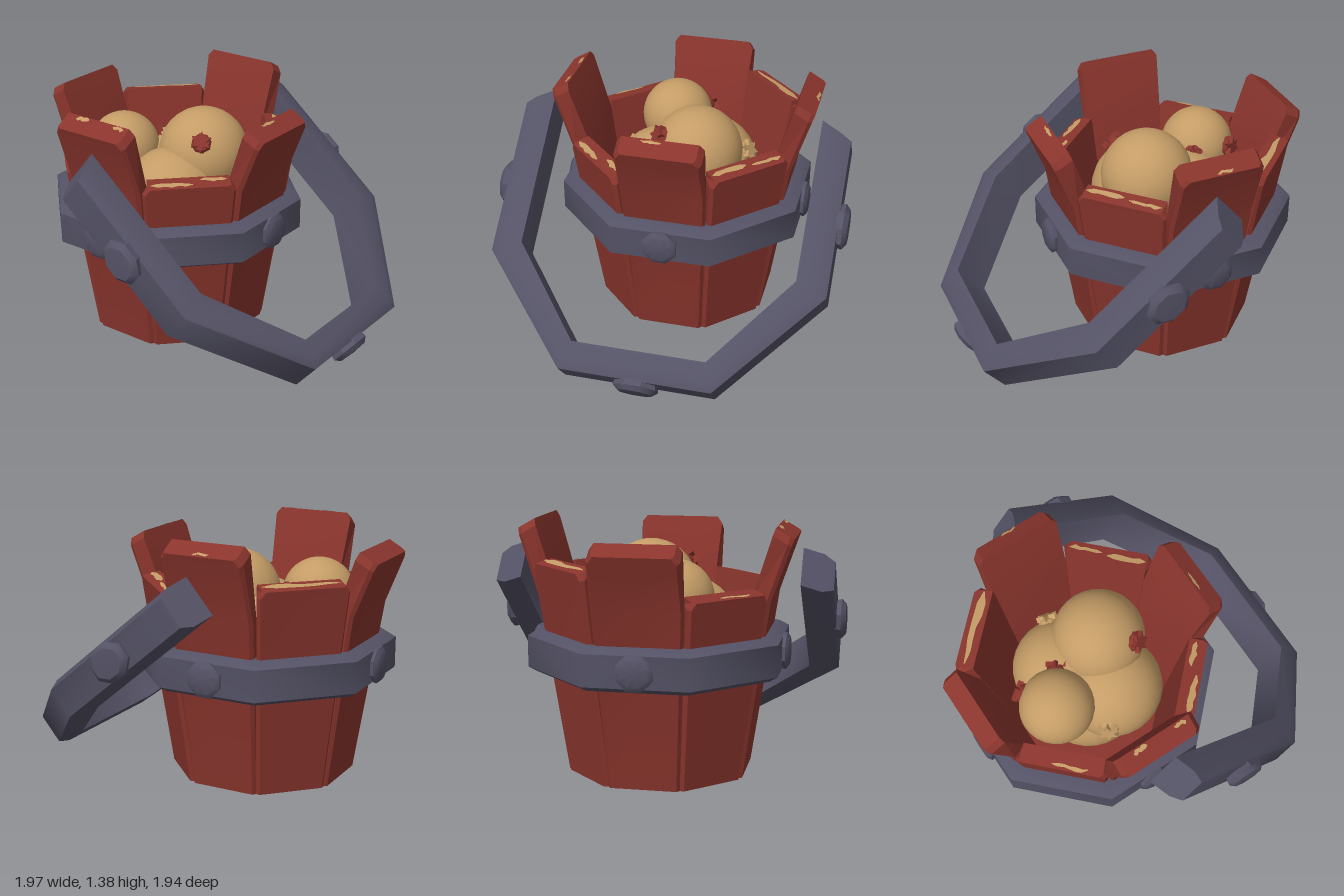
import * as THREE from 'three';
import { toCreasedNormals } from 'three/addons/utils/BufferGeometryUtils.js';

const wood = new THREE.MeshStandardMaterial({ color: 0x8a352d });
wood.name = 'red wood';
const metal = new THREE.MeshStandardMaterial({ color: 0x545265 });
metal.name = 'grey metal';
const tan = new THREE.MeshStandardMaterial({ color: 0xc49c66, side: THREE.DoubleSide });
tan.name = 'tan';

let seed = 7;
const rand = () => (seed = (seed * 16807) % 2147483647) / 2147483647;
const V = (x, y, z) => new THREE.Vector3(x, y, z);

function add(parent, geometry, material, name) {
  const mesh = new THREE.Mesh(geometry, material);
  mesh.name = name;
  parent.add(mesh);
  return mesh;
}

// Skin a list of equal cross-sections; capped unless it closes on itself
function loft(rings, closed, crease) {
  const n = rings[0].length, tris = [];
  const last = closed ? rings.length : rings.length - 1;
  for (let i = 0; i < last; i++) {
    const a = rings[i], b = rings[(i + 1) % rings.length];
    for (let j = 0; j < n; j++) {
      const k = (j + 1) % n;
      tris.push([a[j], a[k], b[k]], [a[j], b[k], b[j]]);
    }
  }
  if (!closed) {
    const e = rings[rings.length - 1];
    for (let j = 1; j < n - 1; j++) {
      tris.push([rings[0][0], rings[0][j + 1], rings[0][j]], [e[0], e[j], e[j + 1]]);
    }
  }
  // turn the faces outward when the enclosed volume is negative
  const volume = tris.reduce((s, [a, b, c]) => s + a.dot(b.clone().cross(c)), 0);
  if (volume < 0) tris.forEach((t) => t.reverse());
  const g = new THREE.BufferGeometry().setFromPoints(tris.flat());
  return toCreasedNormals(g, crease);
}

// Flat strap through matching inner and outer points [along, across], bevelled outside
function strap(inner, outer, half, closed) {
  const profile = [[-1, 0], [-1, 0.65], [-0.75, 1], [0.75, 1], [1, 0.65], [1, 0]];
  const rings = inner.map((p, i) => profile.map(([w, t]) => V(
    THREE.MathUtils.lerp(p[0], outer[i][0], t), w * half,
    THREE.MathUtils.lerp(p[1], outer[i][1], t))));
  return loft(rings, closed, 0.9);
}

// Domed octagonal rivet pointing along +z
function rivet(radius, height) {
  const p = [[0.9, -0.03], [1, height * 0.5], [0.75, height], [0, height * 1.1]];
  const g = new THREE.LatheGeometry(p.map(([r, y]) => new THREE.Vector2(r * radius, y)), 8, Math.PI / 8);
  return toCreasedNormals(g.rotateX(Math.PI / 2), 0.6);
}

// One stave cross-section: outer and inner radius and height, half width
function section(ro, yo, ri, yi, w) {
  const wi = Math.min(ri * 0.414, w);
  const f = 0.2, rm = ro + (ri - ro) * f, ym = yo + (yi - yo) * f;
  return [V(-wi, yi, ri), V(-w, ym, rm), V(-w + 0.015, yo, ro),
    V(w - 0.015, yo, ro), V(w, ym, rm), V(wi, yi, ri)];
}

// Ragged bare-wood patch on the top of a stave, from a to b at depth c
function chip(top, a, b, c, width) {
  const [ro, yo, ri, yi] = top, pts = [], steps = 6;
  const at = (x, f) => V(x, yo + (yi - yo) * f + 0.005, ro + (ri - ro) * f);
  for (let i = 0; i <= steps; i++) {
    const x = a + (b - a) * i / steps;
    const h = (i % steps ? 0.5 + rand() * 0.5 : 0.15) * width;
    const mid = c + (rand() - 0.5) * 0.12;
    pts.push([at(x, Math.max(0.02, mid - h / 2)), at(x, Math.min(0.98, mid + h / 2))]);
  }
  const tris = [];
  for (let i = 0; i < steps; i++) {
    const [p, q] = pts[i], [r, s] = pts[i + 1];
    tris.push(p, r, s, p, s, q);
  }
  const g = new THREE.BufferGeometry().setFromPoints(tris);
  g.computeVertexNormals();
  return g;
}

// Six-pointed fruit crown pointing along +y
function crown(r) {
  const s = new THREE.Shape();
  for (let i = 0; i < 12; i++) {
    const a = i * Math.PI / 6, d = i % 2 ? r * 0.5 : r;
    s[i ? 'lineTo' : 'moveTo'](Math.cos(a) * d, Math.sin(a) * d);
  }
  s.closePath();
  return new THREE.ExtrudeGeometry(s, { depth: 0.03, bevelEnabled: false }).rotateX(-Math.PI / 2);
}

function fruit(parent, [x, y, z], r, crowns) {
  const g = new THREE.Group();
  g.name = 'fruit';
  g.position.set(x, y, z);
  add(g, new THREE.SphereGeometry(r, 28, 18), tan, 'fruitBody');
  for (const [dx, dy, dz, material] of crowns) {
    const d = V(dx, dy, dz).normalize();
    const base = add(g, new THREE.CylinderGeometry(0.045, 0.06, 0.03, 8), material, 'crownBase');
    const star = add(g, crown(0.06), material, 'crown');
    base.position.copy(d).multiplyScalar(r);
    star.position.copy(d).multiplyScalar(r + 0.005);
    for (const m of [base, star]) m.quaternion.setFromUnitVectors(V(0, 1, 0), d);
  }
  parent.add(g);
}

export function createModel() {
  const model = new THREE.Group();
  model.name = 'bucketOfFruit';
  const bucket = new THREE.Group();
  bucket.name = 'bucket';
  bucket.position.x = -0.275;
  model.add(bucket);

  // Staves: tall flared ones alternate with short straight ones
  const heights = [1.36, 1.05, 1.32, 1.11, 1.385, 1.18, 1.32, 1.05];
  const chips = [
    [[-0.13, -0.05, 0.8, 0.3], [0.11, 0.18, 0.8, 0.25]],
    [[-0.2, 0.02, 0.3, 0.4], [0.06, 0.2, 0.65, 0.35]],
    [[-0.1, 0.01, 0.8, 0.2]],
    [[-0.21, 0.0, 0.55, 0.45], [0.03, 0.21, 0.4, 0.3]],
    [[-0.04, 0.05, 0.12, 0.25]],
    [[-0.21, 0.2, 0.5, 0.5]],
    [],
    [[-0.05, 0.14, 0.2, 0.25]],
  ];
  heights.forEach((h, i) => {
    const stave = new THREE.Group();
    stave.name = i % 2 ? 'shortStave' : 'tallStave';
    stave.rotation.y = i * Math.PI / 4;
    const rings = [section(0.47, 0.03, 0.37, 0.03, 0.188)];
    let top;
    if (i % 2) {
      const r = 0.47 + 0.15 * (h - 0.05);
      top = [r, h - 0.02, r - 0.1, h];
      rings.push(section(r - 0.006, h - 0.055, r - 0.105, h - 0.035, 0.246), section(...top, 0.22));
    } else {
      top = [0.725, h - 0.055, 0.63, h];
      rings.push(section(0.612, 0.98, 0.515, 1.0, 0.236),
        section(0.712, h - 0.09, 0.618, h - 0.035, 0.232), section(...top, 0.205));
    }
    add(stave, loft(rings, false, 0.25), wood, 'stave');
    for (const c of chips[i]) add(stave, chip(top, ...c), tan, 'bareWoodPatch');
    bucket.add(stave);
  });

  // Recessed floor with plank battens
  const floor = add(bucket, new THREE.CylinderGeometry(0.43, 0.43, 0.04, 8), wood, 'floor');
  floor.rotation.y = Math.PI / 8;
  floor.position.y = 0.11;
  for (const z of [-0.13, 0.13]) {
    add(bucket, new THREE.BoxGeometry(0.68, 0.02, 0.025), wood, 'floorBatten').position.set(0, 0.085, z);
  }
  const splinter = add(bucket, new THREE.ConeGeometry(0.08, 0.09, 6), tan, 'floorSplinter');
  splinter.rotation.x = Math.PI;
  splinter.scale.x = 0.7;
  splinter.position.set(-0.125, 0.045, 0.02);

  // Hoop with four rivets
  const octagon = (apothem) => Array.from({ length: 8 }, (_, i) => {
    const a = (i + 0.5) * Math.PI / 4, r = apothem / Math.cos(Math.PI / 8);
    return [Math.cos(a) * r, Math.sin(a) * r];
  });
  add(bucket, strap(octagon(0.53), octagon(0.66), 0.112, true), metal, 'hoop').position.y = 0.69;
  for (let i = 0; i < 4; i++) {
    const a = i * Math.PI / 2;
    const m = add(bucket, rivet(0.1, 0.035), metal, 'hoopRivet');
    m.rotation.y = a;
    m.position.set(Math.sin(a) * 0.66, 0.69, Math.cos(a) * 0.66);
  }

  // Tilted half-octagon handle
  const handle = new THREE.Group();
  handle.name = 'handle';
  handle.position.set(-0.28, 1.13, 0);
  handle.rotation.z = -Math.atan2(0.644, 0.765);
  const mirror = (p) => [...p, ...p.slice().reverse().map(([u, z]) => [u, -z])];
  const inner = mirror([[-0.02, 0.75], [0.88, 0.75], [1.37, 0.36]]);
  const outer = mirror([[0.07, 0.915], [0.94, 0.915], [1.52, 0.41]]);
  add(handle, strap(inner, outer, 0.115, false), metal, 'handleStrap');
  for (const [u, z, a] of [[0.52, 0.915, 0], [0.52, -0.915, Math.PI], [1.52, 0, Math.PI / 2]]) {
    const m = add(handle, rivet(0.125, 0.05), metal, 'handleRivet');
    m.position.set(u, 0, z);
    m.rotation.y = a;
    m.scale.y = 0.85;
  }
  model.add(handle);

  // Fruit heaped in the bucket
  fruit(model, [-0.14, 1.0, -0.08], 0.25, [[0.12, 0.13, 0.18, wood]]);
  fruit(model, [-0.54, 1.0, 0.13], 0.2, [[-0.12, 0.03, -0.16, wood], [0.11, 0.03, -0.18, wood]]);
  fruit(model, [-0.37, 0.8, -0.1], 0.27, [[0.06, 0.14, -0.23, tan]]);
  fruit(model, [-0.2, 0.78, 0.13], 0.28, [[-0.17, 0.08, 0.23, tan]]);
  fruit(model, [-0.275, 0.43, 0], 0.3, []);
  return model;
}
